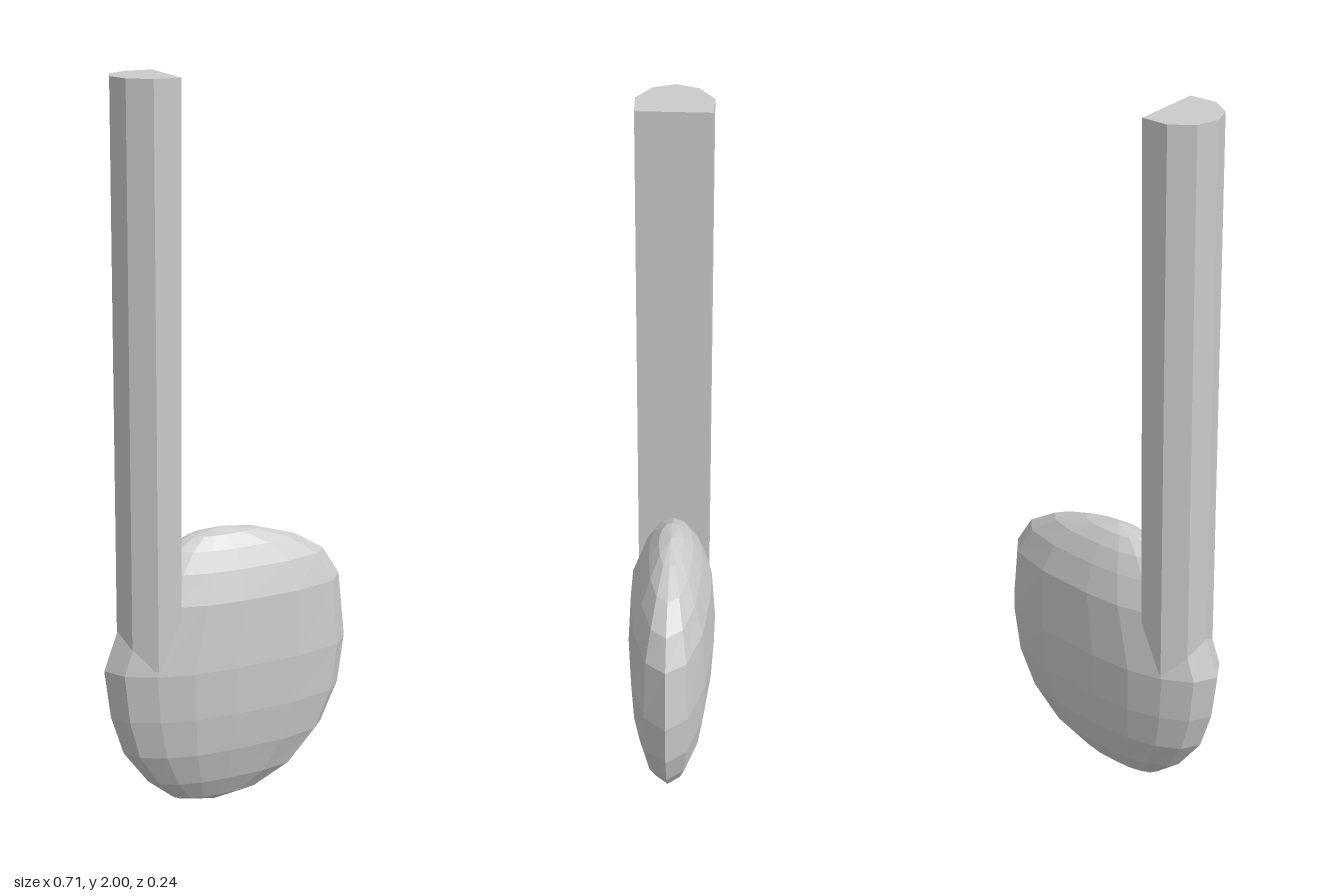
import * as THREE from 'three';

const material = new THREE.MeshStandardMaterial({ color: 0xcccccc, flatShading: true, side: THREE.DoubleSide });

// Half outline of a horizontal section, from -x to +x: [x, z] as fractions of the half sizes
const HALF = [[-1, 0], [-0.9, 0.5], [-0.68, 0.83], [-0.4, 1], [-0.06, 1], [0.47, 0.85], [0.86, 0.5], [1, 0]];
const SECTION = [...HALF, ...HALF.slice(1, -1).reverse().map(([x, z]) => [x, -z])];

// Sections of the rounded head, bottom to top: [y, left x, right x, half depth]
const RINGS = [
  [0, -0.04, -0.04, 0],
  [0.025, -0.16, 0.09, 0.033],
  [0.085, -0.235, 0.2, 0.066],
  [0.18, -0.305, 0.285, 0.096],
  [0.29, -0.34, 0.335, 0.112],
  [0.425, -0.357, 0.354, 0.12],
  [0.61, -0.29, 0.335, 0.11],
  [0.69, -0.24, 0.285, 0.085],
  [0.742, -0.18, 0.2, 0.06],
  [0.775, -0.11, 0.09, 0.033],
  [0.79, -0.02, -0.02, 0],
];

function headGeometry() {
  const positions = [];
  const index = [];
  const n = SECTION.length;
  for (const [y, left, right, depth] of RINGS) {
    for (const [x, z] of SECTION) {
      positions.push((left + right) / 2 + (x * (right - left)) / 2, y, z * depth);
    }
  }
  const last = RINGS.length - 2;
  for (let i = 0; i <= last; i++) {
    for (let j = 0; j < n; j++) {
      const a = i * n + j, b = i * n + ((j + 1) % n);
      if (i > 0) index.push(a, b, b + n);
      if (i < last) index.push(a, b + n, a + n);
      else continue;
    }
  }
  const geometry = new THREE.BufferGeometry();
  geometry.setAttribute('position', new THREE.Float32BufferAttribute(positions, 3));
  geometry.setIndex(index);
  geometry.computeVertexNormals();
  return geometry;
}

// Upright bar, flat on the inner side and faceted on the outer side
function stemGeometry() {
  const bottom = 0.44, top = 2;
  const outline = [[-0.318, 0], [-0.298, -0.058], [-0.24, -0.1], [-0.165, -0.098],
    [-0.165, 0.098], [-0.24, 0.1], [-0.298, 0.058]];
  const shape = new THREE.Shape(outline.map(([x, z]) => new THREE.Vector2(x, z)));
  const geometry = new THREE.ExtrudeGeometry(shape, { depth: top - bottom, bevelEnabled: false });
  geometry.rotateX(-Math.PI / 2).translate(0, bottom, 0);
  // The flat inner side leans in slightly towards the bottom
  const p = geometry.attributes.position;
  for (let i = 0; i < p.count; i++) {
    if (p.getX(i) > -0.2) p.setX(i, p.getX(i) - (top - p.getY(i)) * 0.006);
  }
  geometry.computeVertexNormals();
  return geometry;
}

export function createModel() {
  const group = new THREE.Group();
  group.name = 'musicalNote';
  const head = new THREE.Mesh(headGeometry(), material);
  head.name = 'noteHead';
  const stem = new THREE.Mesh(stemGeometry(), material);
  stem.name = 'noteStem';
  group.add(head, stem);
  return group;
}
